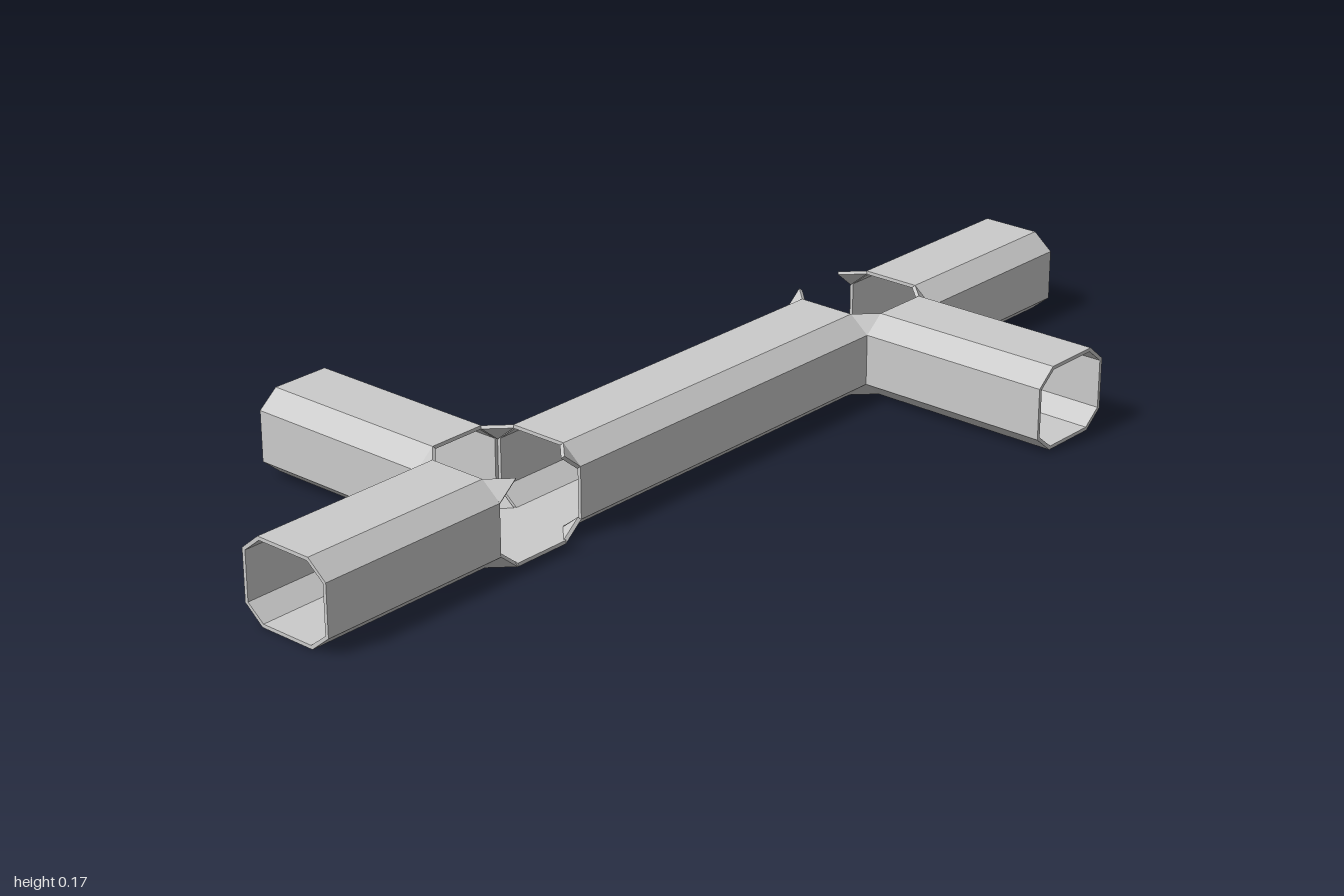
import * as THREE from 'three';
import { ConvexGeometry } from 'three/addons/geometries/ConvexGeometry.js';

const H = 0.167; // corridor height
const W = 0.1;   // half width
const F = 0.06;  // half width of flat floor and ceiling
const C = 0.033; // height of the chamfers
const T = 0.007; // wall thickness

const material = new THREE.MeshStandardMaterial({
  color: 0xcccccc, flatShading: true, side: THREE.DoubleSide,
});

// Eight-sided outline, inset by t
function outline(t) {
  const w = W - t, f = F - t * 0.4, lo = t, hi = H - t, c = C + t * 0.4;
  return [[-f, lo], [f, lo], [w, c], [w, H - c], [f, hi], [-f, hi], [-w, H - c], [-w, c]]
    .map(([x, y]) => new THREE.Vector2(x, y));
}

// Hollow corridor running along +z from its own origin
function corridor(name, length) {
  const shape = new THREE.Shape(outline(0));
  shape.holes.push(new THREE.Path(outline(T)));
  const geometry = new THREE.ExtrudeGeometry(shape, { depth: length, bevelEnabled: false });
  const mesh = new THREE.Mesh(geometry, material);
  mesh.name = name;
  return mesh;
}

// Roofless crossing: floor plate and eight corner gussets
function junction() {
  const group = new THREE.Group();
  group.name = 'junction';

  const plate = new THREE.Shape([[-F, -W], [F, -W], [W, -F], [W, F], [F, W], [-F, W], [-W, F], [-W, -F]]
    .map(([x, y]) => new THREE.Vector2(x, y)));
  const floor = new THREE.Mesh(
    new THREE.ExtrudeGeometry(plate, { depth: T, bevelEnabled: false }).rotateX(-Math.PI / 2), material);
  floor.name = 'junctionFloor';
  group.add(floor);

  for (const sx of [-1, 1]) for (const sz of [-1, 1]) for (const top of [false, true]) {
    const edge = top ? H : 0, tip = top ? H - C : C;
    const outer = [[F, edge, W], [W, edge, F], [W, tip, W]];
    const dy = (top ? -1 : 1) * T * 0.6;
    const points = outer.flatMap(([x, y, z]) => [
      new THREE.Vector3(sx * x, y, sz * z),
      new THREE.Vector3(sx * (x - T * 0.6), y + dy, sz * (z - T * 0.6)),
    ]);
    const gusset = new THREE.Mesh(new ConvexGeometry(points), material);
    gusset.name = top ? 'upperGusset' : 'lowerGusset';
    group.add(gusset);
  }
  return group;
}

export function createModel() {
  const model = new THREE.Group();
  model.name = 'corridorNetwork';

  // Long middle corridor between the junctions
  const middle = corridor('middleCorridor', 0.8);
  middle.position.z = -0.4;
  model.add(middle);

  // Each half: junction, end corridor and one side branch, turned half round
  for (const turn of [0, Math.PI]) {
    const half = new THREE.Group();
    half.name = turn ? 'backHalf' : 'frontHalf';
    const cross = junction();
    cross.position.z = 0.5;
    const end = corridor('endCorridor', 0.4);
    end.position.z = 0.6;
    const branch = corridor('sideBranch', 0.4);
    branch.rotation.y = -Math.PI / 2;
    branch.position.set(-W, 0, 0.5);
    half.add(cross, end, branch);
    half.rotation.y = turn;
    model.add(half);
  }
  return model;
}
